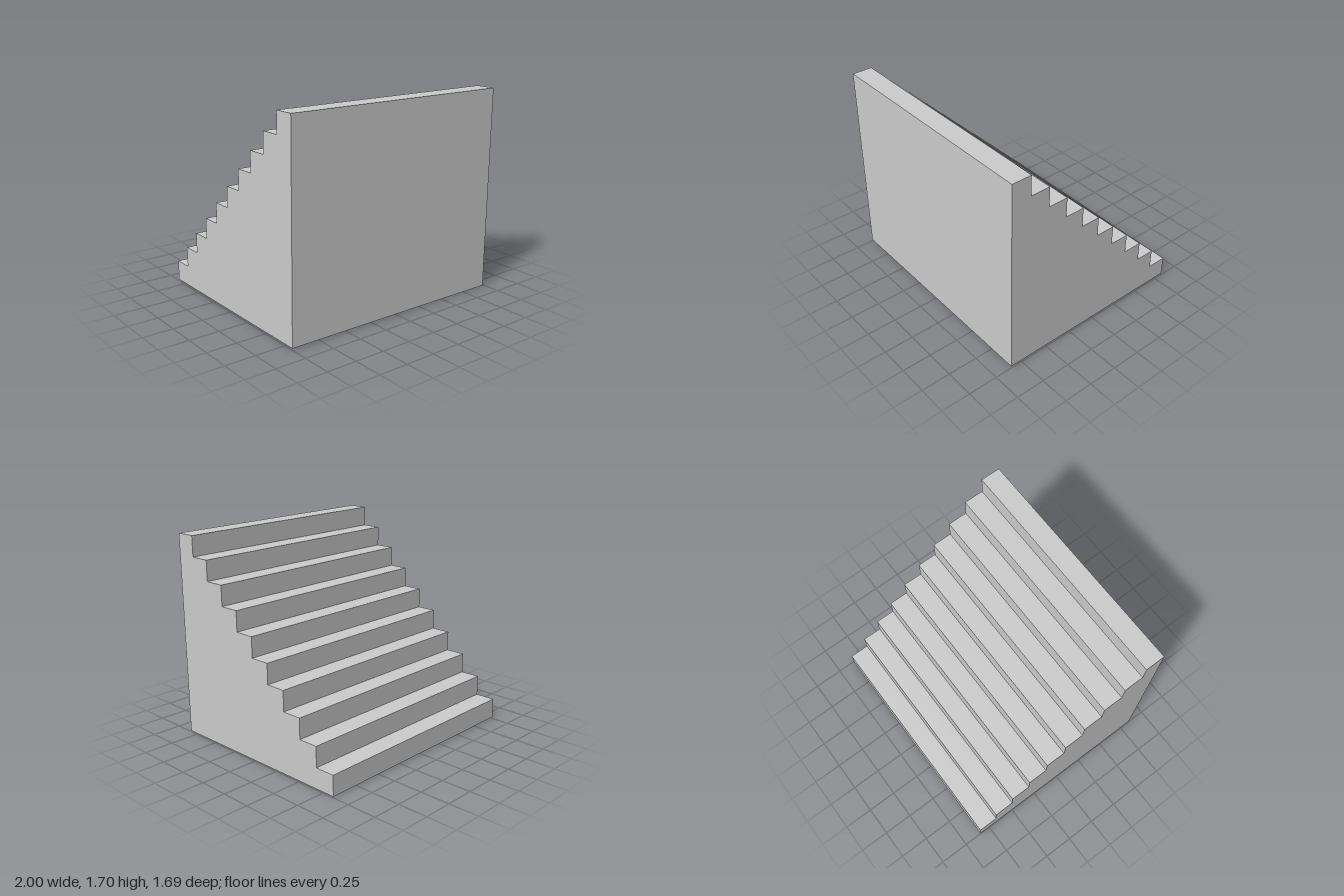
import * as THREE from 'three';

const STEPS = 10, WIDTH = 1.988, RUN = 0.1687, RISE = 0.169, TILT = 0.0068;

export function createModel() {
  const group = new THREE.Group();
  group.name = 'staircase';
  const depth = STEPS * RUN, height = STEPS * RISE;

  // Side profile: steps climb from the back towards a tall flat front
  const profile = new THREE.Shape();
  profile.moveTo(-depth / 2, 0);
  for (let i = 0; i < STEPS; i++) {
    const z = -depth / 2 + i * RUN, y = (i + 1) * RISE;
    profile.lineTo(z, y);
    profile.lineTo(z + RUN, y);
  }
  profile.lineTo(depth / 2, 0);
  profile.closePath();

  // Solid flight of stairs, extruded across its width
  const geometry = new THREE.ExtrudeGeometry(profile, { depth: WIDTH, bevelEnabled: false });
  geometry.translate(0, 0, -WIDTH / 2);
  geometry.rotateY(-Math.PI / 2);
  const steps = new THREE.Mesh(geometry, new THREE.MeshStandardMaterial({ color: 0xcccccc, flatShading: true }));
  steps.name = 'steps';

  // Very slight sideways lean, recentred and set on the ground
  steps.rotation.z = -TILT;
  steps.position.set(-height * Math.sin(TILT) / 2, WIDTH / 2 * Math.sin(TILT), 0);
  group.add(steps);
  return group;
}
